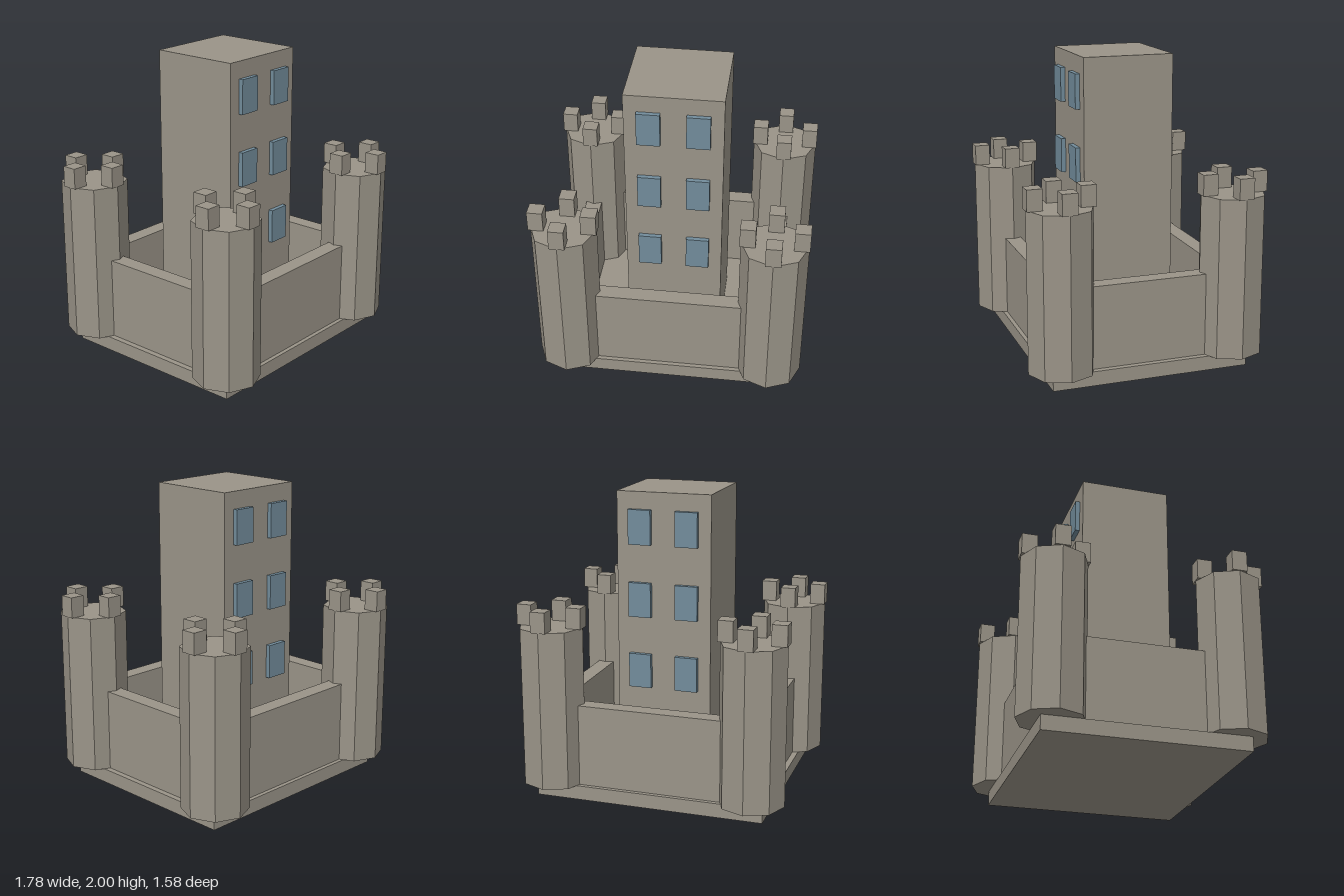
import * as THREE from 'three';

export function createModel() {
  const castle = new THREE.Group();
  castle.name = 'castle';

  const stone = new THREE.MeshStandardMaterial({ color: 0x9a9488 });
  stone.name = 'stone';
  const glass = new THREE.MeshStandardMaterial({ color: 0x728c9b });
  glass.name = 'window blue';

  // Box standing on height y
  function box(name, parent, material, w, h, d, x, y, z) {
    const mesh = new THREE.Mesh(new THREE.BoxGeometry(w, h, d), material);
    mesh.name = name;
    mesh.position.set(x, y + h / 2, z);
    parent.add(mesh);
    return mesh;
  }

  const baseTop = 0.095;
  const towerX = 0.672, towerZ = 0.572;
  const towerR = 0.216, towerTop = 1.15;

  box('base', castle, stone, 1.53, baseTop, 1.31, 0, 0, 0);

  // Curtain walls, running between tower centres
  const wallH = 0.64 - baseTop, wallT = 0.11;
  for (const s of [1, -1]) {
    box(s > 0 ? 'frontWall' : 'backWall', castle, stone, 2 * towerX, wallH, wallT, 0, baseTop, s * towerZ);
    box(s > 0 ? 'leftWall' : 'rightWall', castle, stone, wallT, wallH, 2 * towerZ, s * towerX, baseTop, 0);
  }

  // Octagonal corner towers, each with four merlons
  const shaftH = towerTop - baseTop;
  const shaftGeometry = new THREE.CylinderGeometry(towerR, towerR, shaftH, 8).toNonIndexed();
  shaftGeometry.computeVertexNormals();
  for (const sx of [1, -1]) {
    for (const sz of [1, -1]) {
      const tower = new THREE.Group();
      tower.name = (sz > 0 ? 'front' : 'back') + (sx > 0 ? 'Left' : 'Right') + 'Tower';
      tower.position.set(sx * towerX, 0, sz * towerZ);
      const shaft = new THREE.Mesh(shaftGeometry, stone);
      shaft.name = 'towerShaft';
      shaft.position.y = baseTop + shaftH / 2;
      tower.add(shaft);
      for (const [dx, dz] of [[1, 0], [-1, 0], [0, 1], [0, -1]]) {
        box('merlon', tower, stone, 0.1, 0.137, 0.1, dx * 0.17, towerTop, dz * 0.17);
      }
      castle.add(tower);
    }
  }

  // Central keep with windows on the front and back
  const keep = new THREE.Group();
  keep.name = 'keep';
  castle.add(keep);
  const keepD = 0.6;
  box('keepBody', keep, stone, 0.63, 2 - baseTop, keepD, 0, baseTop, 0);
  for (const sz of [1, -1]) {
    for (const sx of [1, -1]) {
      for (const y of [0.708, 1.184, 1.66]) {
        box('window', keep, glass, 0.15, 0.227, 0.03, sx * 0.157, y, sz * (keepD / 2 + 0.015));
      }
    }
  }

  return castle;
}
